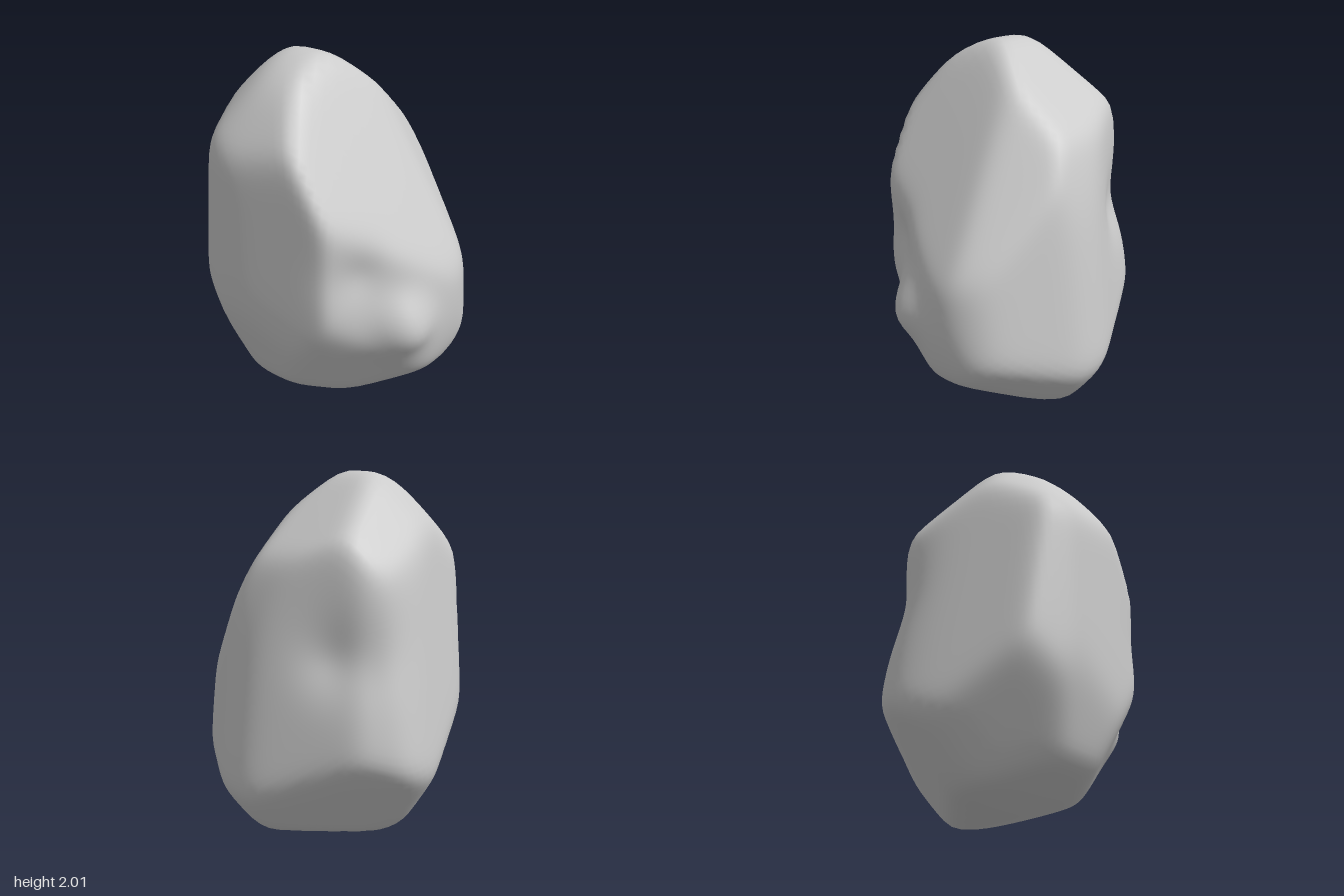
import * as THREE from 'three';
import { mergeVertices } from 'three/addons/utils/BufferGeometryUtils.js';

// Facets of the boulder: outward normal and distance from the core point
const CORE = new THREE.Vector3(0, 0.9, 0);
const sideFacets = [
  [0.86, 0.485, 0.1, 0.578], [0.9, 0, 0.43, 0.615], [1, 0, -0.1, 0.746],
  [0.82, 0.05, -0.57, 0.72], [0.45, 0.1, -0.88, 0.6], [0, 0.11, -0.994, 0.597],
  [-0.4, 0.1, -0.92, 0.565], [-0.85, 0.1, -0.52, 0.69], [-0.99, 0.13, 0, 0.693],
  [-0.93, 0.1, 0.34, 0.64], [-0.39, 0, 0.92, 0.7], [0.146, 0, 0.989, 0.631],
];
const topFacets = [
  [0, 1, 0.1, 1.115], [0, 0.755, -0.656, 0.79], [0, 0.3, -0.95, 0.632],
  [-0.78, 0.61, -0.12, 0.86], [0, 0.54, 0.84, 0.882], [0, 0.86, 0.5, 1.05],
  [0.8, 0.6, 0, 0.7], [0.72, 0.47, -0.51, 0.623], [-0.53, 0.66, 0.53, 0.957],
];
const bottomFacets = [
  [0, -1, 0, 0.893], [0, -0.93, 0.37, 0.864], [0, -0.33, 0.94, 0.711],
  [0, -0.54, -0.84, 0.895], [-0.78, -0.62, 0, 0.88], [0.44, -0.9, 0, 0.871],
  [0.95, -0.3, 0, 0.812], [-0.636, -0.44, 0.636, 0.755],
  [-0.56, -0.61, -0.56, 0.788], [0.5, -0.6, -0.55, 0.83],
  [0.622, -0.47, 0.622, 0.715],
];
const facets = [...sideFacets, ...topFacets, ...bottomFacets]
  .map(([x, y, z, d]) => ({ normal: new THREE.Vector3(x, y, z), d }));

// Hollows (negative) and swellings (positive): centre, height, angular width
const dents = [
  { at: [0.5, 0.95, 0.42], height: -0.04, width: 0.25 },
  { at: [0.68, 0.6, 0.19], height: 0.12, width: 0.22 },
  { at: [-0.5, 1.08, -0.36], height: -0.07, width: 0.36 },
].map(({ at, height, width }) => ({
  dir: new THREE.Vector3(...at).sub(CORE).normalize(), height, width,
}));

// Edge softness, and the allowance that makes up for the rounded-off edges
const SHARPNESS = 30;
const ALLOWANCE = 1.018;

// Distance from core to surface: softened intersection of all facets
function radius(dir) {
  let sum = 0;
  for (const { normal, d } of facets) {
    sum += Math.pow(Math.max(0, normal.dot(dir) / d), SHARPNESS);
  }
  let r = ALLOWANCE * Math.pow(sum, -1 / SHARPNESS);
  for (const { dir: centre, height, width } of dents) {
    r += height * Math.exp(-((dir.angleTo(centre) / width) ** 2));
  }
  return r;
}

export function createModel() {
  const group = new THREE.Group();
  group.name = 'boulder';

  // Shared vertices give smooth shading across the worn facets
  let geometry = new THREE.IcosahedronGeometry(1, 22);
  geometry.deleteAttribute('uv');
  geometry.deleteAttribute('normal');
  geometry = mergeVertices(geometry, 1e-4);

  const position = geometry.attributes.position;
  const v = new THREE.Vector3();
  for (let i = 0; i < position.count; i++) {
    v.fromBufferAttribute(position, i).normalize();
    v.multiplyScalar(radius(v)).add(CORE);
    position.setXYZ(i, v.x, v.y, v.z);
  }
  geometry.computeVertexNormals();

  const rock = new THREE.Mesh(geometry, new THREE.MeshStandardMaterial({ color: 0xcccccc }));
  rock.name = 'rock';
  group.add(rock);
  return group;
}
